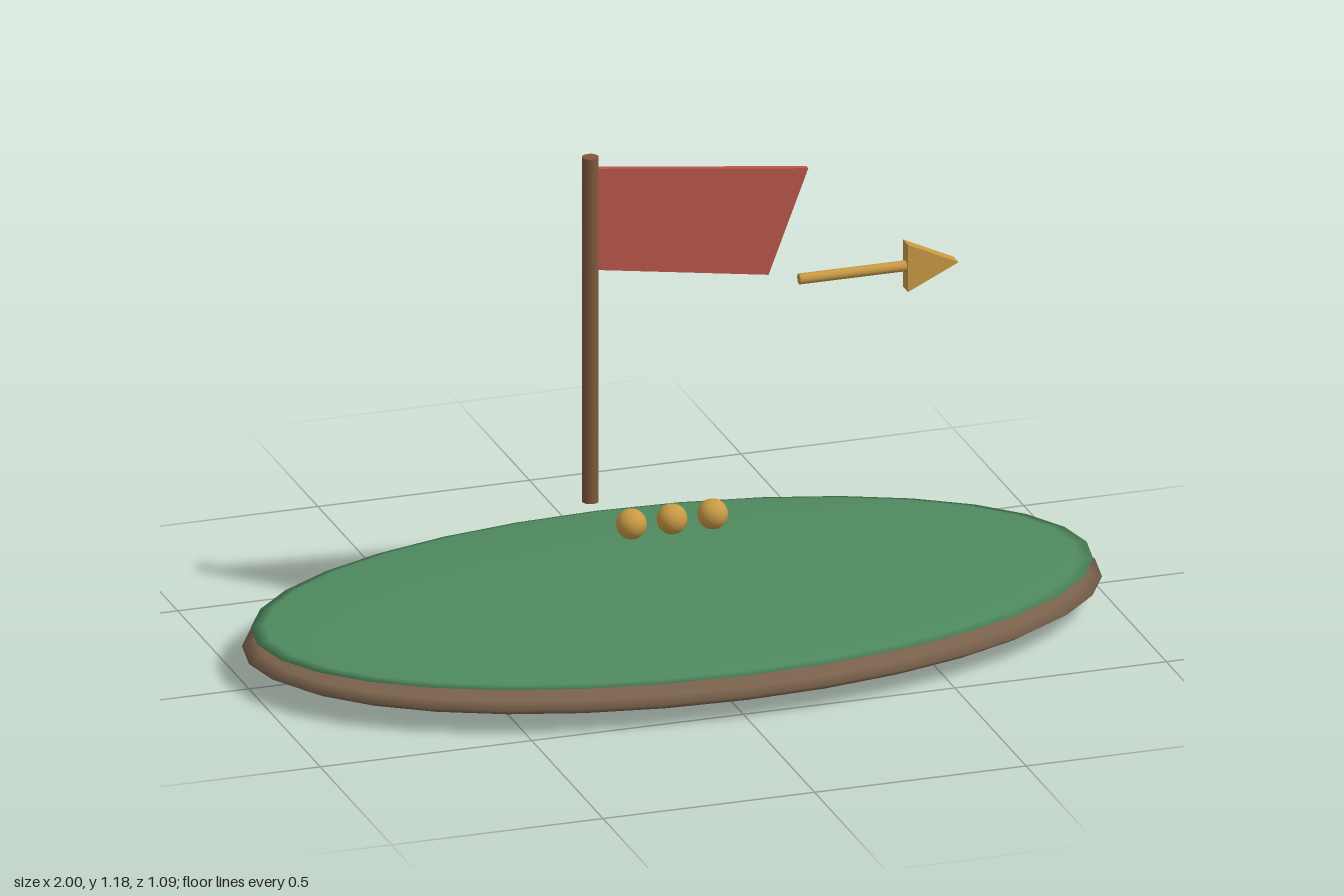
import * as THREE from 'three';

const mat = (color) => new THREE.MeshStandardMaterial({ color });
const soil = mat(0x7a624c), grass = mat(0x4f8a5f), wood = mat(0x80583c);
const cloth = mat(0xb8574a), gold = mat(0xc99a45);

export function createModel() {
  const model = new THREE.Group();

  function add(name, geometry, material, x = 0, y = 0, z = 0) {
    const mesh = new THREE.Mesh(geometry, material);
    mesh.name = name;
    mesh.position.set(x, y, z);
    model.add(mesh);
    return mesh;
  }

  // Flat plate cut from an outline in the xy plane, centred on z = 0
  function plate(points, depth) {
    const shape = new THREE.Shape(points.map(([x, y]) => new THREE.Vector2(x, y)));
    return new THREE.ExtrudeGeometry(shape, { depth, bevelEnabled: false })
      .translate(0, 0, -depth / 2);
  }

  // Island: two flattened ellipsoids, grass resting on soil
  add('islandSoil', new THREE.SphereGeometry(1, 32, 12).scale(1, 0.06, 0.545), soil, 0, 0.06);
  add('islandGrass', new THREE.SphereGeometry(1, 32, 12).scale(0.98, 0.018, 0.528), grass, 0, 0.104);

  // Flag on its floating pole
  add('flagPole', new THREE.CylinderGeometry(0.019, 0.019, 0.83, 12), wood, -0.193, 0.765);
  add('flag', plate([[-0.18, 0.908], [0.226, 0.845], [0.32, 1.09], [-0.18, 1.152]], 0.014), cloth);

  // Arrow pointing to +x
  add('arrowShaft', new THREE.CylinderGeometry(0.0125, 0.0125, 0.26, 12), gold, 0.43, 0.823)
    .rotation.z = -Math.PI / 2;
  add('arrowHead', plate([[0.552, 0.766], [0.672, 0.823], [0.552, 0.88]], 0.035), gold);

  // Row of three balls
  for (const i of [-1, 0, 1]) {
    add('ball', new THREE.SphereGeometry(0.035, 16, 12), gold, i * 0.096, 0.283);
  }

  return model;
}
